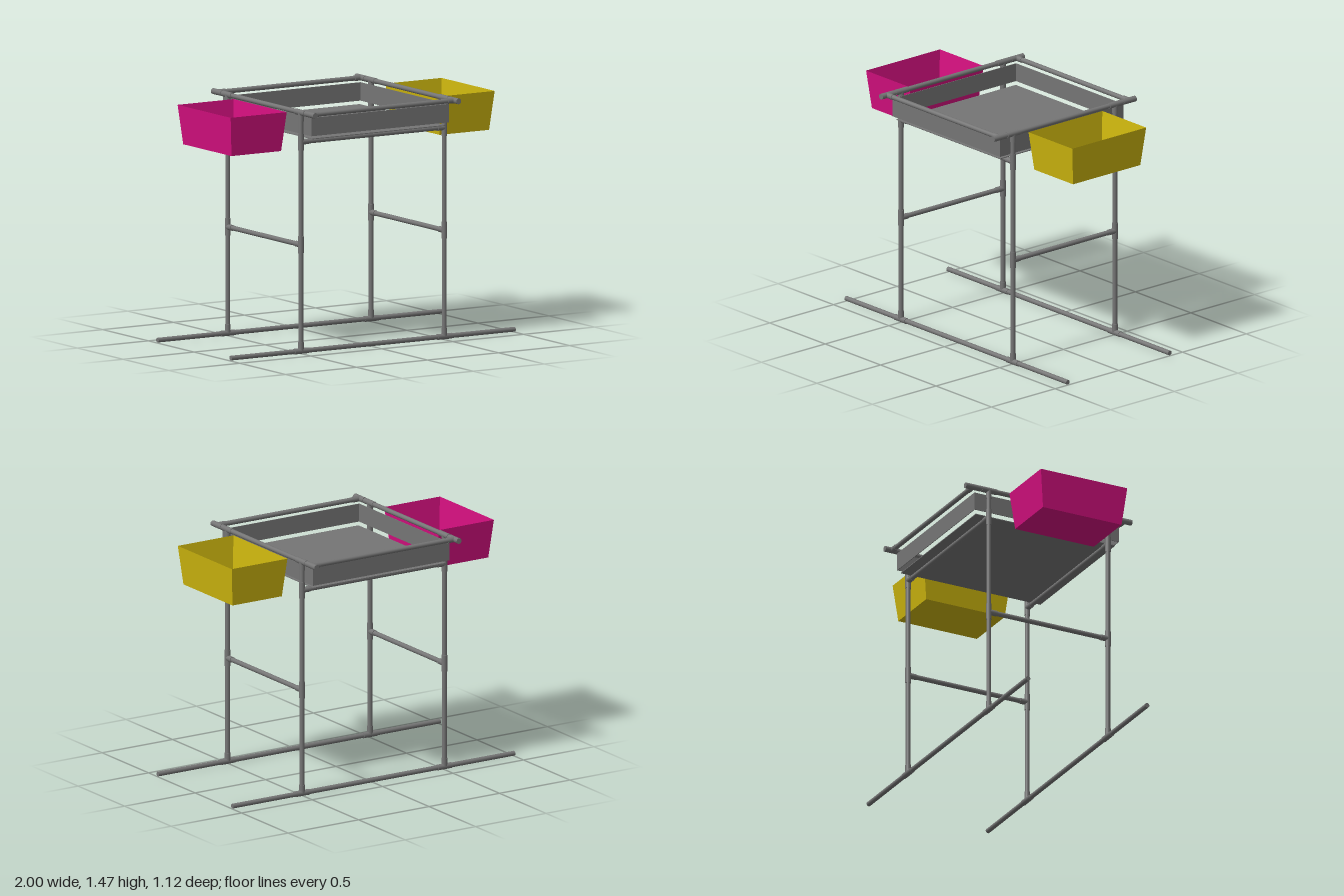
import * as THREE from 'three';

const grey = new THREE.MeshStandardMaterial({ color: 0x757575 });
grey.name = 'greyPipe';
const pink = new THREE.MeshStandardMaterial({ color: 0xd4107f, side: THREE.DoubleSide });
pink.name = 'pinkPlastic';
const yellow = new THREE.MeshStandardMaterial({ color: 0xcdb60e, side: THREE.DoubleSide });
yellow.name = 'yellowPlastic';

const PIPE = 0.0145, FITTING = 0.0175;
const X = 0.505, Z = 0.4, FLOOR = 0.018, MID = 0.655, SHELF = 1.272, TOP = 1.448, CROSS = 0.508;

// Straight tube between two points
function tube(name, a, b, radius = PIPE) {
  const start = new THREE.Vector3(...a), end = new THREE.Vector3(...b);
  const dir = end.clone().sub(start);
  const mesh = new THREE.Mesh(new THREE.CylinderGeometry(radius, radius, dir.length(), 16), grey);
  mesh.position.copy(start).add(end).multiplyScalar(0.5);
  mesh.quaternion.setFromUnitVectors(new THREE.Vector3(0, 1, 0), dir.normalize());
  mesh.name = name;
  return mesh;
}

// Pipe fitting: a sleeve through p along one axis, plus a branch
function tee(name, p, along, branch) {
  const group = new THREE.Group();
  group.name = name;
  const move = (d, s) => p.map((v, i) => v + d[i] * s);
  group.add(tube('sleeve', move(along, -0.05), move(along, 0.05), FITTING));
  group.add(tube('branch', p, move(branch, 0.052), FITTING));
  return group;
}

function slab(name, size, pos) {
  const mesh = new THREE.Mesh(new THREE.BoxGeometry(...size), grey);
  mesh.position.set(...pos);
  mesh.name = name;
  return mesh;
}

// Open bin with tapered sides, made from a box without its lid
function bin(name, material, x) {
  const h = 0.235, geo = new THREE.BoxGeometry(0.395, h, 0.58);
  const pos = geo.attributes.position;
  for (let i = 0; i < pos.count; i++) {
    if (pos.getY(i) < 0) {
      pos.setX(i, pos.getX(i) * 0.885);
      pos.setZ(i, pos.getZ(i) * 0.91);
    }
  }
  const index = Array.from(geo.index.array);
  index.splice(12, 6);
  geo.setIndex(index);
  geo.clearGroups();
  geo.computeVertexNormals();
  const mesh = new THREE.Mesh(geo, material);
  mesh.position.set(x, 1.205 + h / 2, 0.01);
  mesh.name = name;
  return mesh;
}

export function createModel() {
  const model = new THREE.Group();
  model.name = 'sortingTable';
  const up = [0, 1, 0], down = [0, -1, 0], alongX = [1, 0, 0], alongZ = [0, 0, 1];

  for (const s of [-1, 1]) {
    // Floor runners, shelf supports and upper end rails run across
    model.add(tube('floorRunner', [-1, FLOOR, s * Z], [1, FLOOR, s * Z]));
    model.add(tube('shelfSupport', [-X, SHELF, s * Z], [X, SHELF, s * Z]));
    model.add(tube('endRail', [-X, TOP, s * CROSS], [X, TOP, s * CROSS]));

    // Side rails and braces run front to back
    model.add(tube('sideRail', [s * X, TOP, -0.55], [s * X, TOP, 0.55]));
    model.add(tube('sideBrace', [s * X, MID, -Z], [s * X, MID, Z]));

    // Legs and their fittings
    for (const t of [-1, 1]) {
      const x = s * X, z = t * Z, inX = [-s, 0, 0], inZ = [0, 0, -t];
      model.add(tube('leg', [x, FLOOR, z], [x, TOP, z]));
      model.add(tee('footFitting', [x, FLOOR, z], alongX, up));
      model.add(tee('braceFitting', [x, MID, z], up, inZ));
      model.add(tee('shelfFitting', [x, SHELF, z], up, inX));
      model.add(tee('legTopFitting', [x, TOP, z], alongZ, down));
      model.add(tee('railFitting', [x, TOP, t * CROSS], alongZ, inX));
    }

    // Tray walls
    model.add(slab('trayEndWall', [0.97, 0.11, 0.004], [0, 1.37, s * 0.483]));
    model.add(slab('traySideWall', [0.004, 0.11, 0.966], [s * 0.483, 1.37, 0]));
  }

  // Shelf panel under the walls
  model.add(slab('shelfPanel', [0.936, 0.005, 0.936], [0, 1.295, 0]));

  // Side bins
  model.add(bin('rightBin', pink, -0.738));
  model.add(bin('leftBin', yellow, 0.727));
  return model;
}
